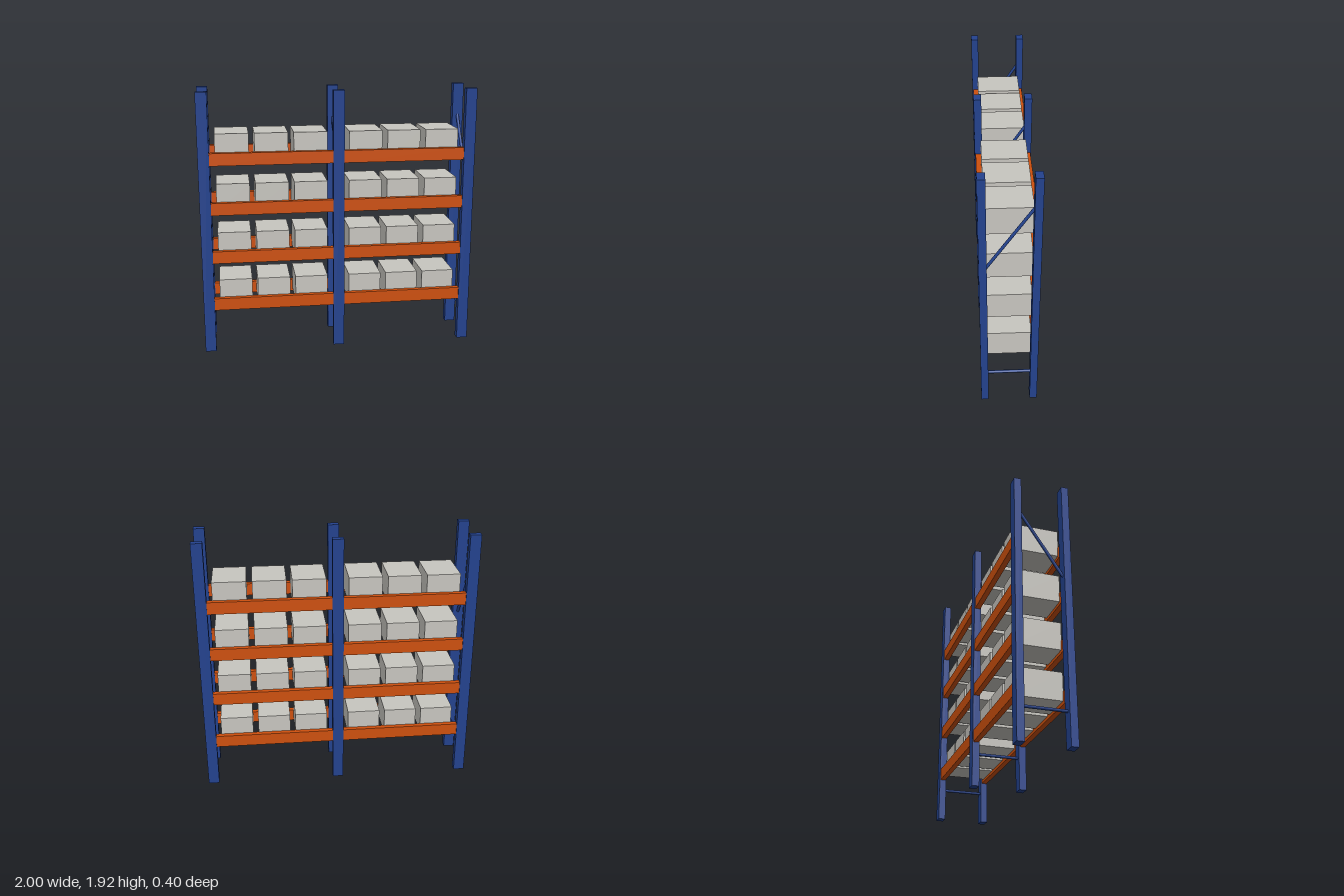
import * as THREE from 'three';

const material = (name, color) => {
  const m = new THREE.MeshStandardMaterial({ color });
  m.name = name;
  return m;
};

export function createModel() {
  const rack = new THREE.Group();
  rack.name = 'palletRack';
  const blue = material('uprightBlue', 0x23428e);
  const orange = material('beamOrange', 0xce500e);
  const grey = material('boxGrey', 0xc8c6c0);

  const box = (name, mat, size, pos) => {
    const mesh = new THREE.Mesh(new THREE.BoxGeometry(...size), mat);
    mesh.name = name;
    mesh.position.set(...pos);
    rack.add(mesh);
  };

  // Round bar across the depth of a frame, from the front post to the back post
  const brace = (name, x, yFront, yBack) => {
    const a = new THREE.Vector3(x, yFront, 0.174);
    const b = new THREE.Vector3(x, yBack, -0.174);
    const dir = b.clone().sub(a);
    const mesh = new THREE.Mesh(new THREE.CylinderGeometry(0.011, 0.011, dir.length(), 8), blue);
    mesh.name = name;
    mesh.position.copy(a).add(b).multiplyScalar(0.5);
    mesh.quaternion.setFromUnitVectors(new THREE.Vector3(0, 1, 0), dir.normalize());
    rack.add(mesh);
  };

  // Three upright frames
  for (const x of [-0.96, 0, 0.96]) {
    for (const z of [-0.174, 0.174]) box('post', blue, [0.08, 1.92, 0.052], [x, 0.96, z]);
    brace('lowerBrace', x, 0.243, 0.243);
    brace('diagonalBrace', x, 1.18, 1.71);
  }

  // Four levels in two bays: a pair of beams carrying three boxes
  for (const y of [0.32, 0.68, 1.04, 1.4]) {
    for (const bay of [-0.48, 0.48]) {
      for (const z of [-0.174, 0.174]) box('beam', orange, [0.88, 0.09, 0.04], [bay, y + 0.045, z]);
      for (const dx of [-0.28, 0, 0.28]) {
        box('storedBox', grey, [0.24, 0.2, 0.316], [bay + dx, y + 0.123, 0]);
      }
    }
  }
  return rack;
}
